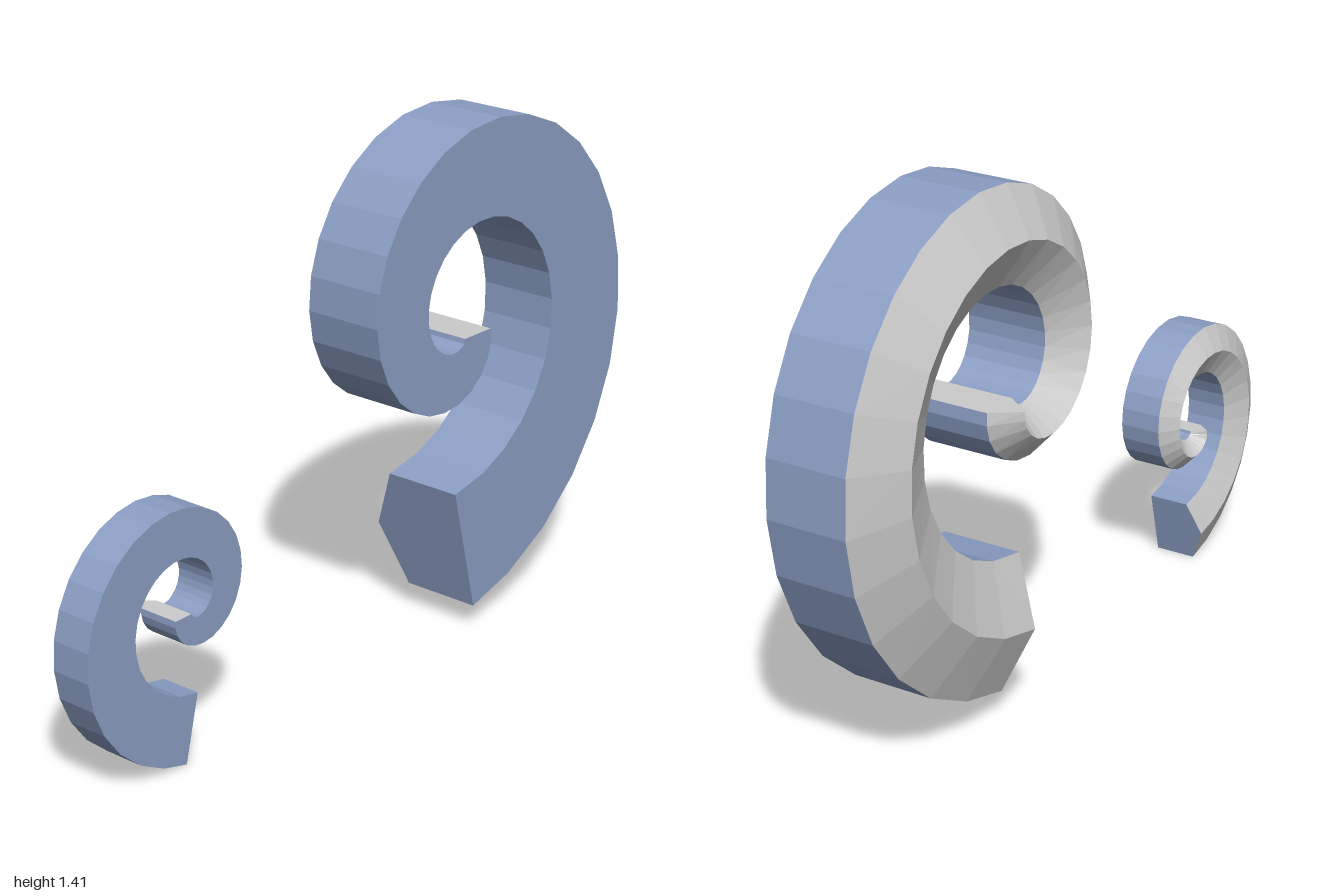
import * as THREE from 'three';

const STEPS = 32;
const TURN = Math.PI * 2.25;
const CENTER = [0.323, 0.886];
const FRONT = 0.148, SHOULDER = -0.074, RIDGE = -0.147;

const wallMaterial = new THREE.MeshStandardMaterial({ color: 0x8b9fc4, flatShading: true, side: THREE.DoubleSide });
const ridgeMaterial = new THREE.MeshStandardMaterial({ color: 0xcccccc, flatShading: true, side: THREE.DoubleSide });

// Centre line: a spiral whose radius shrinks evenly from the broad end to the tip
function spiralPoint(t) {
  const angle = -Math.PI / 2 + t * TURN;
  const r = THREE.MathUtils.lerp(0.6435, 0.058, t);
  return new THREE.Vector2(CENTER[0] + r * Math.cos(angle), CENTER[1] + r * Math.sin(angle));
}

// House-shaped cross-sections, flat at the front and ridged at the back
function sections() {
  const centers = Array.from({ length: STEPS + 1 }, (_, i) => spiralPoint(i / STEPS));
  return centers.map((c, i) => {
    const along = centers[Math.min(i + 1, STEPS)].clone().sub(centers[Math.max(i - 1, 0)]).normalize();
    const h = THREE.MathUtils.lerp(0.363, 0.108, i / STEPS) / 2;
    const profile = [[-h, FRONT], [h, FRONT], [h, SHOULDER], [0, RIDGE], [-h, SHOULDER]];
    return profile.map(([u, z]) => [c.x + along.y * u, c.y - along.x * u, z]);
  });
}

function createHorn(name, scale, mirror, offset) {
  const rings = sections().map(ring => ring.map(([x, y, z]) =>
    [x * scale * mirror + offset[0], y * scale + offset[1], z * scale + offset[2]]));
  const walls = [], ridge = [];

  const polygon = (out, corners) => {
    const loop = mirror < 0 ? [...corners].reverse() : corners;
    for (let k = 1; k < loop.length - 1; k++) out.push(...loop[0], ...loop[k], ...loop[k + 1]);
  };

  // Faces between neighbouring sections; sides 2 and 3 are the ridge slopes
  for (let i = 0; i < STEPS; i++) {
    for (let j = 0; j < 5; j++) {
      const k = (j + 1) % 5;
      polygon(j === 2 || j === 3 ? ridge : walls,
        [rings[i][j], rings[i][k], rings[i + 1][k], rings[i + 1][j]]);
    }
  }
  // End caps
  polygon(walls, [...rings[0]].reverse());
  polygon(ridge, rings[STEPS]);

  const group = new THREE.Group();
  group.name = name;
  for (const [part, positions, material] of [['walls', walls, wallMaterial], ['ridge', ridge, ridgeMaterial]]) {
    const geometry = new THREE.BufferGeometry();
    geometry.setAttribute('position', new THREE.Float32BufferAttribute(positions, 3));
    geometry.computeVertexNormals();
    const mesh = new THREE.Mesh(geometry, material);
    mesh.name = part;
    group.add(mesh);
  }
  return group;
}

export function createModel() {
  const model = new THREE.Group();
  model.name = 'spiralHorns';
  model.add(createHorn('largeSpiral', 1, 1, [0, 0, 0]));
  model.add(createHorn('smallSpiral', 0.51, -1, [-0.49, -0.037, -0.003]));
  return model;
}
